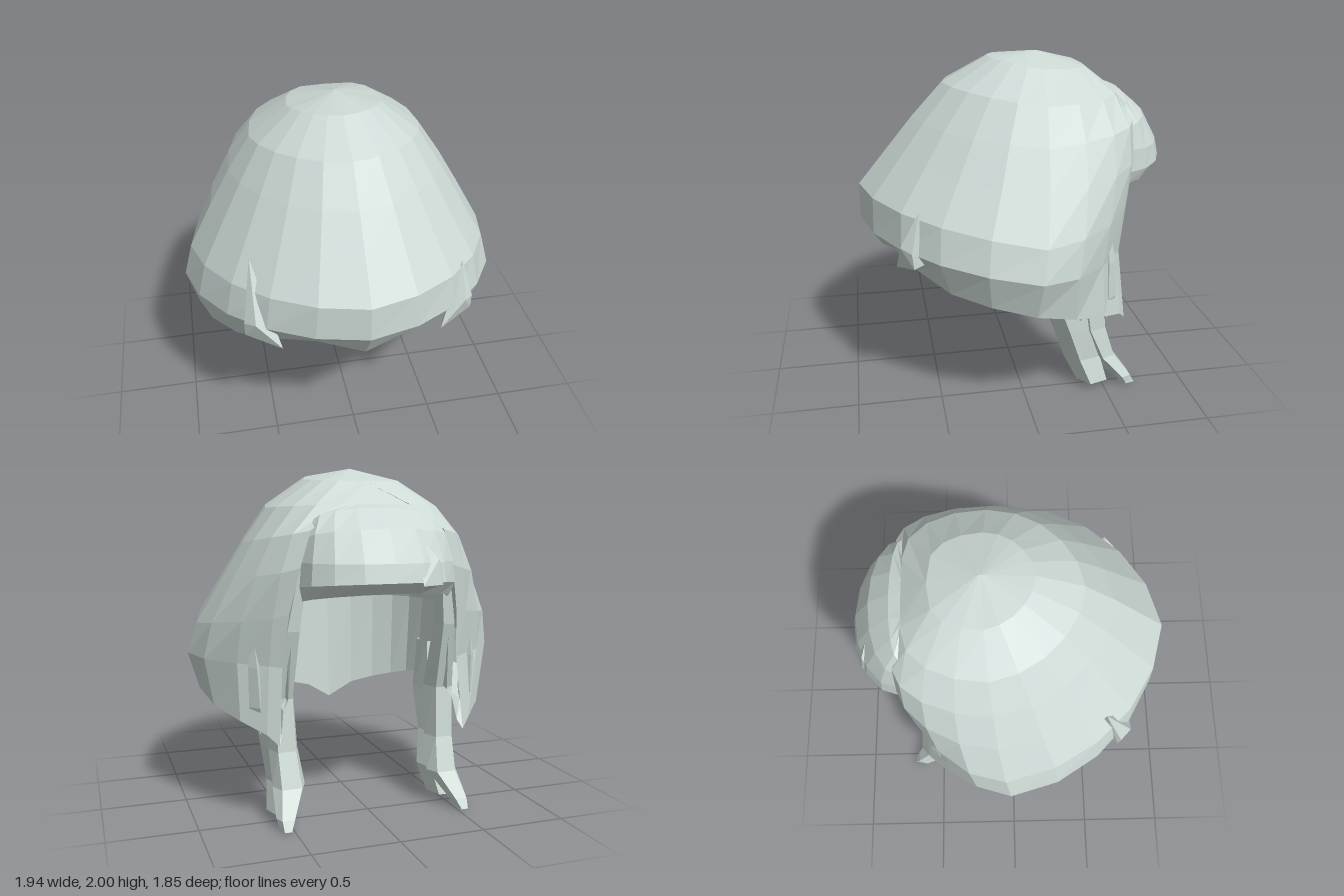
import * as THREE from 'three';
import { ConvexGeometry } from 'three/addons/geometries/ConvexGeometry.js';

const hair = new THREE.MeshStandardMaterial({ color: 0xccd9d5, flatShading: true, side: THREE.DoubleSide });
hair.name = 'paleHair';
const lerp = THREE.MathUtils.lerp;

// Skin a list of equally long rows, running top to bottom
function skin(rows) {
  const n = rows[0].length, index = [];
  for (let r = 0; r < rows.length - 1; r++) {
    for (let c = 0; c < n - 1; c++) {
      const a = r * n + c, d = a + n;
      index.push(a, d, a + 1, a + 1, d, d + 1);
    }
  }
  const g = new THREE.BufferGeometry();
  g.setAttribute('position', new THREE.Float32BufferAttribute(rows.flat(2), 3));
  g.setIndex(index);
  const flat = g.toNonIndexed();
  flat.computeVertexNormals();
  return flat;
}

function add(group, name, geometry) {
  const m = new THREE.Mesh(geometry, hair);
  m.name = name;
  group.add(m);
}

// One band of the cap: nape -> side -> edge of the face opening, mirrored.
// round: fullness towards the face, power: how the height falls to the side, wave: lift of the rim
function capRow([yb, zb, w, ys, zs, xe, ye, ze, round = 2, power = 2, wave = 0]) {
  const half = [];
  for (let i = 0; i <= 5; i++) {
    const t = i / 5, a = t * Math.PI / 2, k = 1 - 0.05 * Math.sin(2 * a);
    const lift = wave * Math.max(0, Math.sin(2 * Math.PI * t));
    half.push([w * k * Math.sin(a), lerp(yb, ys, Math.pow(t, power)) + lift, lerp(zs, zb, k * Math.cos(a))]);
  }
  for (let i = 1; i <= 4; i++) {
    const t = i / 4, a = t * Math.PI / 2;
    half.push([lerp(xe, w, Math.pow(Math.max(0, Math.cos(a)), round)), lerp(ys, ye, t), lerp(zs, ze, Math.sin(a))]);
  }
  const mirrored = half.slice(1).reverse().map(([x, y, z]) => [-x, y, z]);
  return [...mirrored, ...half];
}

// Tapering strand through [x, y, z, halfWidth, halfDepth] stations
function strand(stations, side, sides = 5) {
  return skin(stations.map(([x, y, z, rx, rz]) => {
    const row = [];
    for (let i = 0; i <= sides; i++) {
      const a = (i / sides) * Math.PI * 2;
      row.push([side * (x + rx * Math.sin(a)), y, z + rz * Math.cos(a)]);
    }
    return side > 0 ? row : row.reverse();
  }));
}

export function createModel() {
  const group = new THREE.Group();
  group.name = 'hair';

  // Cap: outer shell, rolled rim, pointed nape and inner wall
  // yBack, zBack, halfWidth, ySide, zSide, xEdge, yEdge, zEdge, round, power, wave
  add(group, 'cap', skin([
    [2.0, -0.15, 0, 2.0, -0.16, 0, 2.0, -0.17],
    [1.975, 0.13, 0.28, 1.935, -0.15, 0, 1.915, -0.45, 0.6],
    [1.83, 0.4, 0.51, 1.77, -0.13, 0.2, 1.79, -0.6, 0.9],
    [1.63, 0.585, 0.645, 1.57, -0.11, 0.39, 1.65, -0.655, 1.1],
    [1.43, 0.75, 0.775, 1.35, -0.09, 0.45, 1.45, -0.655, 1.3],
    [1.23, 0.915, 0.915, 1.1, -0.05, 0.5, 1.2, -0.61, 1.7],
    [1.02, 0.92, 0.968, 0.92, -0.02, 0.53, 0.9, -0.565],
    [0.83, 0.8, 0.9, 0.7, 0, 0.56, 0.47, -0.61, 1.8, 2, 0.08],
    [0.84, 0.58, 0.74, 0.69, 0, 0.54, 0.52, -0.57],
    [0.77, 0.38, 0.58, 0.73, -0.02, 0.52, 0.65, -0.54],
    [0.525, 0.24, 0.5, 0.73, -0.08, 0.49, 0.7, -0.53, 2, 0.5],
    [1.2, 0.28, 0.52, 1.2, -0.1, 0.47, 1.2, -0.58, 1],
    [1.58, 0.2, 0.46, 1.55, -0.15, 0.37, 1.6, -0.62, 1],
    [1.75, 0, 0.25, 1.74, -0.2, 0, 1.72, -0.55, 1],
    [1.8, -0.2, 0, 1.8, -0.2, 0, 1.8, -0.2],
  ].map(capRow)));

  // Fringe flowing out of the crown: halfWidth, ySide, yCentre, zSide, zCentre
  add(group, 'fringe', skin([
    [0, 1.915, 1.915, -0.45, -0.45],
    [0.2, 1.79, 1.79, -0.59, -0.6],
    [0.36, 1.71, 1.77, -0.61, -0.67],
    [0.41, 1.61, 1.66, -0.63, -0.8],
    [0.44, 1.48, 1.48, -0.64, -0.9],
    [0.45, 1.35, 1.38, -0.64, -0.925],
    [0.43, 1.27, 1.32, -0.62, -0.87],
    [0.4, 1.31, 1.37, -0.6, -0.78],
    [0.36, 1.5, 1.55, -0.55, -0.62],
  ].map(([w, ys, yc, zs, zc]) => {
    const row = [];
    for (let i = 0; i <= 8; i++) {
      const a = (i / 8 - 0.5) * Math.PI;
      row.push([-w * Math.sin(a), lerp(ys, yc, Math.cos(a)), lerp(zs, zc, Math.cos(a))]);
    }
    return row;
  })));

  // Small overlapping strand that marks the parting in the fringe
  add(group, 'fringeParting', new ConvexGeometry([
    [-0.16, 1.62, -0.8], [-0.15, 1.36, -0.92], [-0.17, 1.33, -0.87],
    [-0.28, 1.36, -0.87], [-0.27, 1.5, -0.85], [-0.33, 1.36, -0.8],
  ].map(p => new THREE.Vector3(...p))));

  for (const side of [1, -1]) {
    const label = side > 0 ? 'left' : 'right';

    // Long forked lock hanging beside the face
    add(group, label + 'FrontLock', strand([
      [0.42, 1.45, -0.58, 0.04, 0.05],
      [0.47, 1.1, -0.52, 0.06, 0.08],
      [0.5, 0.7, -0.39, 0.09, 0.1],
      [0.49, 0.4, -0.43, 0.09, 0.09],
      [0.48, 0.2, -0.51, 0.1, 0.07],
      [0.53, 0.06, -0.63, 0.06, 0.05],
      [0.54, 0.005, -0.66, 0.035, 0.05],
      [0.54, 0, -0.66, 0, 0],
    ], side));
    add(group, label + 'BackLock', strand([
      [0.5, 0.95, -0.2, 0.05, 0.1],
      [0.52, 0.65, -0.22, 0.1, 0.13],
      [0.51, 0.4, -0.31, 0.09, 0.12],
      [0.48, 0.2, -0.38, 0.1, 0.12],
      [0.51, 0.04, -0.44, 0.09, 0.1],
      [0.52, 0.015, -0.44, 0, 0],
    ], side));

    // Pointed strands along the side edge
    [
      [0.81, 1.05, -0.31, 0.7, 0.55, -0.3],
      [0.67, 1.15, -0.45, 0.64, 0.51, -0.47],
    ].forEach(([x0, y0, z0, x1, y1, z1], i) => {
      const at = (t, rx, rz) => [lerp(x0, x1, t), lerp(y0, y1, t), lerp(z0, z1, t), rx, rz];
      add(group, label + 'SideStrand' + (i + 1), strand(
        [at(0, 0, 0), at(0.4, 0.04, 0.05), at(0.75, 0.05, 0.06), at(1, 0.005, 0.005)], side, 4));
    });

    // Folded flap in the rear rim
    const [top, depth] = side > 0 ? [1.24, 0.6] : [1.37, 0.53];
    add(group, label + 'RimFold', new ConvexGeometry([
      [0.6, top, depth], [0.6, 1.04, 0.71], [0.66, 1.02, 0.65],
      [0.66, 0.93, 0.64], [0.46, 0.87, 0.73], [0.56, 0.95, 0.5],
    ].map(([x, y, z]) => new THREE.Vector3(side * x, y, z))));
  }
  return group;
}
